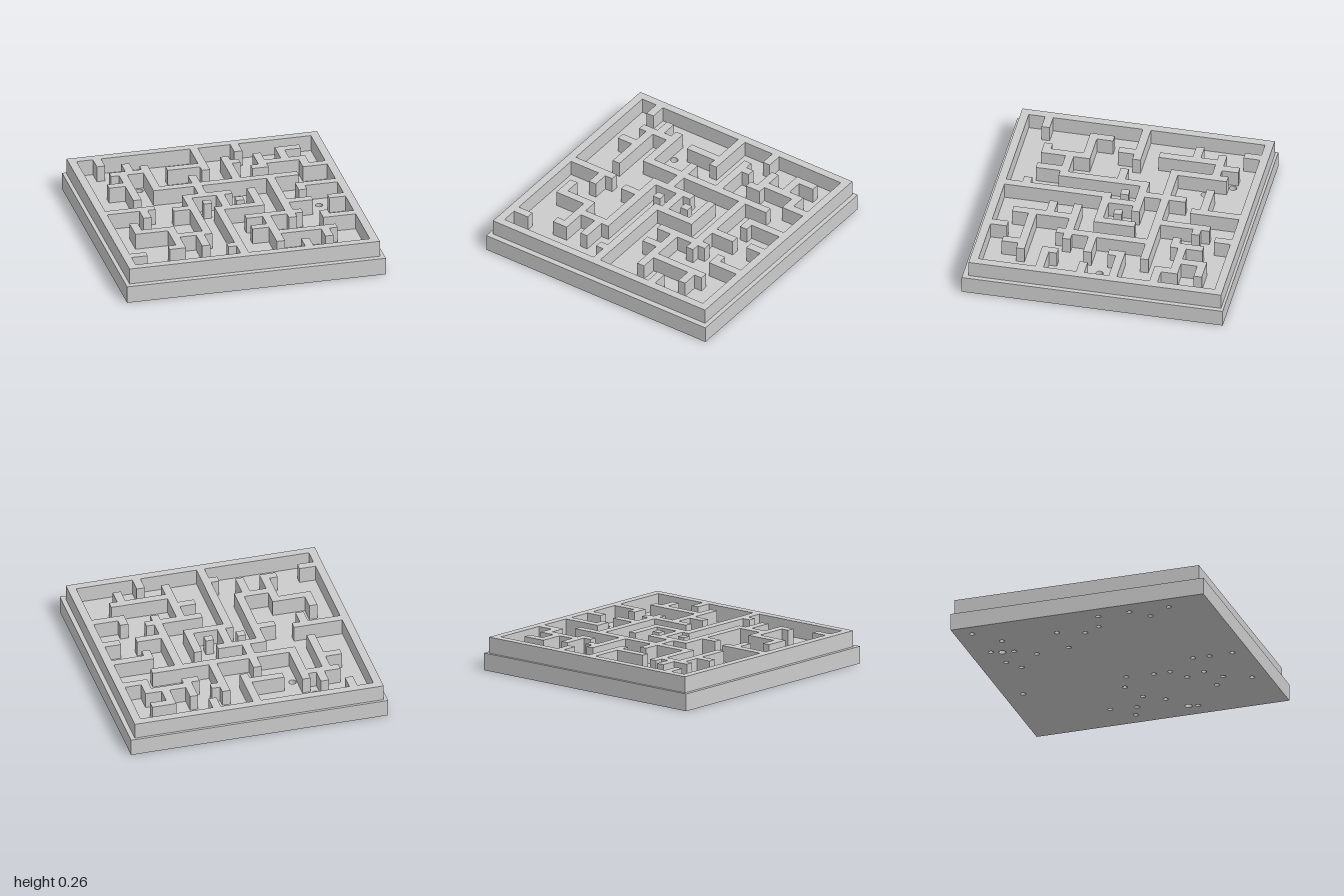
import * as THREE from 'three';

const material = new THREE.MeshStandardMaterial({ color: 0xcccccc, flatShading: true });

const N = 31;              // maze cells per side
const CELL = 1.935 / N;
const X0 = -0.97, Z0 = -0.98;
const FLOOR = 0.133, TOP = 0.257;

// Walls running along x: [row, first column, last column]
const ROW_WALLS = [
  [0, 0, 30], [30, 0, 30], [3, 25, 27], [5, 4, 8], [5, 11, 15], [5, 18, 19],
  [6, 22, 27], [7, 21, 22], [8, 3, 5], [8, 27, 29], [10, 8, 25],
  [13, 11, 16], [13, 25, 29], [15, 1, 6], [15, 13, 13], [15, 17, 17],
  [16, 9, 11], [17, 14, 19], [17, 22, 25], [17, 28, 29], [20, 17, 23],
  [21, 3, 7], [22, 26, 29], [23, 7, 11], [23, 17, 19], [25, 19, 26],
  [26, 6, 7], [27, 1, 2], [27, 13, 14],
];

// Walls running along z: [column, first row, last row]
const COLUMN_WALLS = [
  [0, 0, 30], [30, 0, 30], [3, 1, 2], [3, 19, 21], [5, 5, 12], [5, 16, 17],
  [6, 3, 5], [7, 21, 26], [8, 4, 10], [10, 24, 26], [11, 13, 23],
  [13, 8, 12], [14, 17, 29], [15, 1, 6], [15, 13, 17], [18, 4, 10],
  [19, 13, 17], [19, 20, 27], [20, 1, 2], [22, 4, 7], [22, 10, 21],
  [22, 28, 29], [25, 3, 6], [25, 13, 14], [25, 25, 27], [26, 21, 22], [27, 6, 8],
];

// Hole centres [x, z]
const THROUGH_HOLE = [-0.5, -0.76];
const FLOOR_HOLES = [THROUGH_HOLE, [-0.51, -0.565], [-0.375, -0.57], [0.735, 0], [0.85, 0.235]];
const UNDERSIDE_HOLES = [
  [-0.88, -0.87], [-0.69, -0.7], [-0.53, -0.84], [-0.49, -0.67], [-0.32, -0.79],
  [-0.2, -0.71], [-0.39, -0.525], [-0.425, -0.26], [-0.7, -0.26], [-0.63, -0.06],
  [-0.7, 0.07], [-0.87, 0.125], [-0.87, 0.37], [-0.755, 0.5], [-0.86, 0.68],
  [0.25, -0.85], [0.72, -0.32], [0.87, -0.17], [0.74, -0.115], [0.58, -0.015],
  [0.68, 0.13], [0.865, 0.325], [0.21, -0.02], [0.23, 0.19], [0.23, 0.32],
  [0.36, 0.41], [0.31, 0.56], [0.435, 0.67], [0.565, 0.575], [0.52, 0.87],
  [0.055, 0.56], [0.06, 0.69], [0.06, 0.87], [0.38, -0.09],
];

// Square plate between two heights, pierced by round holes [x, z, radius]
function plate(name, y0, y1, holes) {
  const shape = new THREE.Shape([[-1, -1], [1, -1], [1, 1], [-1, 1]].map(p => new THREE.Vector2(...p)));
  for (const [x, z, r] of holes) {
    shape.holes.push(new THREE.Path().absarc(x, z, r, 0, Math.PI * 2, true));
  }
  const geometry = new THREE.ExtrudeGeometry(shape, { depth: y1 - y0, bevelEnabled: false, curveSegments: 16 });
  geometry.rotateX(Math.PI / 2).translate(0, y1, 0);
  const mesh = new THREE.Mesh(geometry, material);
  mesh.name = name;
  return mesh;
}

// One seamless wall block: a top per filled cell, a side wherever the neighbour is empty
function mazeWalls() {
  const filled = new Set();
  const key = (c, r) => c * 100 + r;
  for (const [r, a, b] of ROW_WALLS) for (let c = a; c <= b; c++) filled.add(key(c, r));
  for (const [c, a, b] of COLUMN_WALLS) for (let r = a; r <= b; r++) filled.add(key(c, r));

  const positions = [];
  const quad = (a, b, c, d) => positions.push(...a, ...b, ...c, ...a, ...c, ...d);
  const side = (xa, za, xb, zb) =>
    quad([xa, FLOOR, za], [xb, FLOOR, zb], [xb, TOP, zb], [xa, TOP, za]);

  for (let c = 0; c < N; c++) {
    for (let r = 0; r < N; r++) {
      if (!filled.has(key(c, r))) continue;
      const x = X0 + c * CELL, z = Z0 + r * CELL;
      const x1 = X0 + (c + 1) * CELL, z1 = Z0 + (r + 1) * CELL;
      quad([x, TOP, z1], [x1, TOP, z1], [x1, TOP, z], [x, TOP, z]);
      if (!filled.has(key(c, r + 1))) side(x, z1, x1, z1);
      if (!filled.has(key(c, r - 1))) side(x1, z, x, z);
      if (!filled.has(key(c + 1, r))) side(x1, z1, x1, z);
      if (!filled.has(key(c - 1, r))) side(x, z, x, z1);
    }
  }
  const geometry = new THREE.BufferGeometry();
  geometry.setAttribute('position', new THREE.Float32BufferAttribute(positions, 3));
  geometry.computeVertexNormals();
  const mesh = new THREE.Mesh(geometry, material);
  mesh.name = 'mazeWalls';
  return mesh;
}

export function createModel() {
  const model = new THREE.Group();
  model.name = 'mazeTray';
  const mid = FLOOR / 2;

  // Base in two layers, so floor and underside holes stay blind unless they overlap
  model.add(plate('mazeFloor', mid, FLOOR, FLOOR_HOLES.map(([x, z]) => [x, z, 0.028])));
  model.add(plate('basePlate', 0, mid, [
    ...UNDERSIDE_HOLES.map(([x, z]) => [x, z, 0.02]),
    [...THROUGH_HOLE, 0.028],
    [0.85, 0.255, 0.028],
  ]));
  model.add(mazeWalls());
  return model;
}
